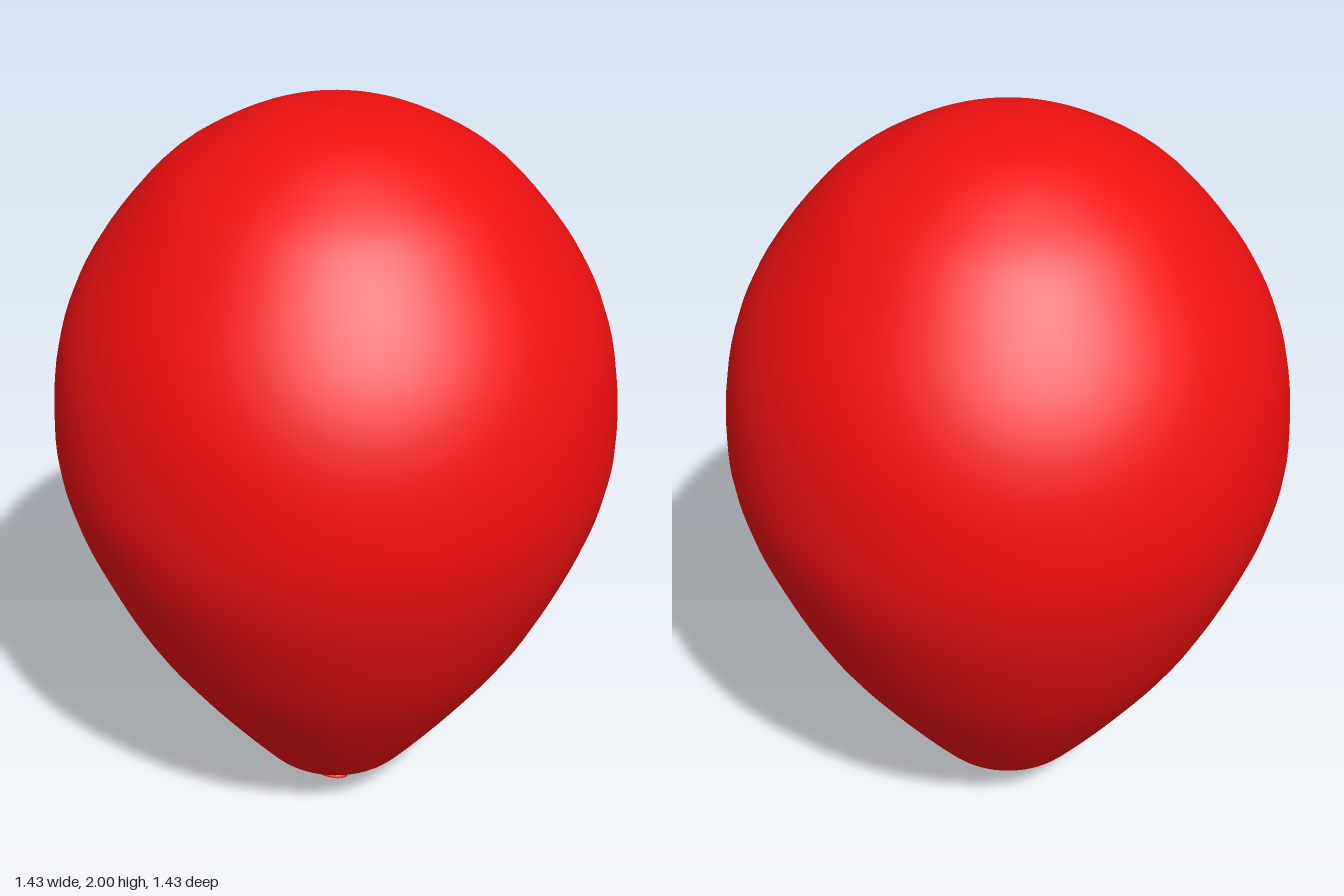
import * as THREE from 'three';

const points = (pairs) => pairs.map(([r, y]) => new THREE.Vector2(r, y));

export function createModel() {
  const group = new THREE.Group();
  group.name = 'balloon';
  const rubber = new THREE.MeshStandardMaterial({ color: 0xf21010, side: THREE.DoubleSide });

  // Inflated body: a smooth teardrop turned round the vertical axis
  const bodyCurve = new THREE.SplineCurve(points([
    [0.016, 0.07], [0.06, 0.086], [0.13, 0.108], [0.185, 0.138], [0.235, 0.19],
    [0.39, 0.395], [0.525, 0.6], [0.63, 0.82], [0.693, 1.0], [0.715, 1.17],
    [0.69, 1.4], [0.61, 1.6], [0.46, 1.8], [0.325, 1.905], [0.17, 1.977], [0, 2],
  ]));
  const profile = bodyCurve.getPoints(72);
  profile[profile.length - 1].x = 0;
  const body = new THREE.Mesh(new THREE.LatheGeometry(profile, 64), rubber);
  body.name = 'body';
  group.add(body);

  // Tied-off neck flaring down into a slightly tilted, open lip
  const tail = new THREE.Group();
  tail.name = 'knot';
  tail.position.y = 0.076;
  tail.rotation.x = -0.18;
  group.add(tail);

  const flareCurve = new THREE.SplineCurve(points([
    [0.014, -0.044], [0.034, -0.062], [0.041, -0.066], [0.044, -0.06],
    [0.032, -0.04], [0.024, -0.02], [0.018, 0.004],
  ]));
  const flareGeometry = new THREE.LatheGeometry(flareCurve.getPoints(24), 32);
  // Ripple the lip a little, more strongly towards its rim
  const pos = flareGeometry.attributes.position;
  for (let i = 0; i < pos.count; i++) {
    const [x, y, z] = [pos.getX(i), pos.getY(i), pos.getZ(i)];
    const k = 1 + 0.06 * Math.cos(3 * Math.atan2(z, x)) * Math.min(1, Math.abs(y) / 0.06);
    pos.setXYZ(i, x * k, y, z * k);
  }
  flareGeometry.computeVertexNormals();
  const flare = new THREE.Mesh(flareGeometry, rubber);
  flare.name = 'lip';
  tail.add(flare);

  // Closed floor inside the lip
  const plug = new THREE.Mesh(new THREE.CircleGeometry(0.016, 24), rubber);
  plug.name = 'lipFloor';
  plug.rotation.x = Math.PI / 2;
  plug.position.y = -0.045;
  tail.add(plug);

  return group;
}
